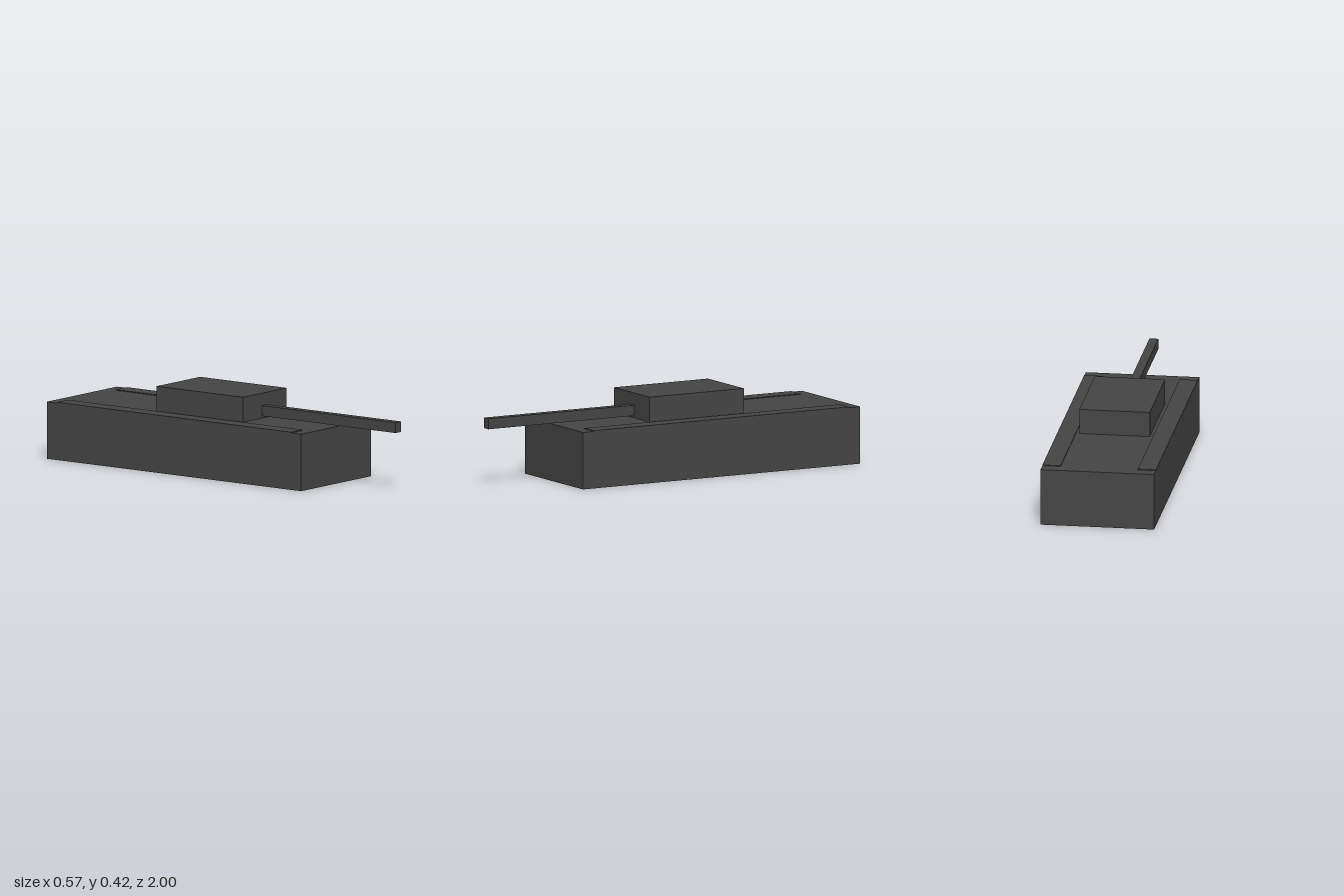
import * as THREE from 'three';

export function createModel() {
  const model = new THREE.Group();
  const material = new THREE.MeshStandardMaterial({ color: 0x444444 });

  // Box given by its lower and upper limits on each axis
  function box(name, [x0, x1], [y0, y1], [z0, z1]) {
    const mesh = new THREE.Mesh(new THREE.BoxGeometry(x1 - x0, y1 - y0, z1 - z0), material);
    mesh.position.set((x0 + x1) / 2, (y0 + y1) / 2, (z0 + z1) / 2);
    mesh.name = name;
    model.add(mesh);
  }

  box('hull', [-0.287, 0.287], [0, 0.289], [-1, 0.606]);
  box('turret', [-0.178, 0.178], [0.289, 0.416], [-0.39, 0.156]);
  box('gunBarrel', [-0.023, 0.022], [0.3, 0.353], [0.156, 1]);

  // Raised track covers, flush with the hull sides
  box('leftTrackCover', [0.195, 0.287], [0.289, 0.293], [-0.935, 0.545]);
  box('rightTrackCover', [-0.287, -0.195], [0.289, 0.293], [-0.935, 0.545]);

  return model;
}
